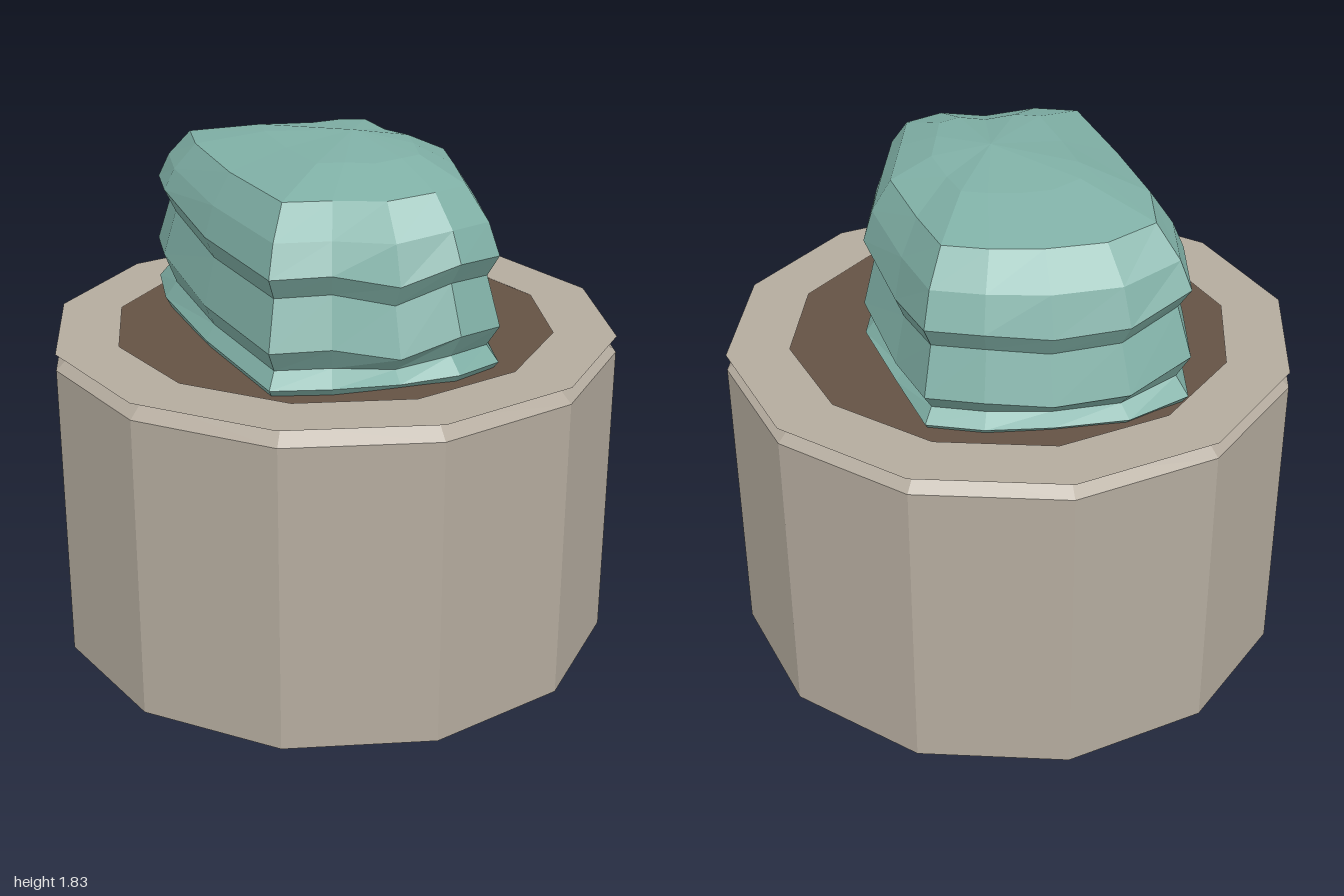
import * as THREE from 'three';

const stone = new THREE.MeshStandardMaterial({ color: 0xb4ab9e, flatShading: true, side: THREE.DoubleSide });
stone.name = 'pot stone';
const earth = new THREE.MeshStandardMaterial({ color: 0x645244, flatShading: true });
earth.name = 'soil brown';
const leaf = new THREE.MeshStandardMaterial({ color: 0x7fafa5, flatShading: true });
leaf.name = 'bush teal';

// Widest outline of the bush: x, z and how far its ridges rise or sag there
const OUTLINE = [
  [-0.02, 0.68, -0.05], [0.18, 0.70, 0.01], [0.35, 0.63, 0], [0.42, 0.35, 0.03],
  [0.51, 0.03, -0.01], [0.45, -0.30, -0.07], [0.40, -0.60, -0.03], [0.22, -0.67, -0.03],
  [0, -0.69, -0.06], [-0.25, -0.70, -0.04], [-0.47, -0.62, 0.03], [-0.52, -0.35, 0.05],
  [-0.50, 0.10, 0], [-0.44, 0.61, 0], [-0.25, 0.67, 0.01],
];

// Tiers from bottom to top: height, outline scale, share of the ridge waviness
const TIERS = [
  [1.10, 0.93, 0], [1.16, 1.00, 0.2], [1.21, 0.93, 0.5], [1.285, 1.00, 1],
  [1.45, 0.92, 1], [1.525, 0.985, 1], [1.63, 0.92, 0.5], [1.735, 0.79, 0.3], [1.80, 0.45, 0.2],
];

function bushGeometry() {
  const n = OUTLINE.length;
  const pos = [];
  const index = [];
  TIERS.forEach(([y, s, wave], i) => {
    const shift = i === TIERS.length - 1 ? 0.03 : 0;
    for (const [x, z, dy] of OUTLINE) pos.push(x * s + shift, y + dy * wave, z * s + shift);
  });
  for (let i = 0; i < TIERS.length - 1; i++) {
    for (let j = 0; j < n; j++) {
      const a = i * n + j, b = i * n + (j + 1) % n;
      index.push(a, b, b + n, a, b + n, a + n);
    }
  }
  // Fan closing the crown
  const top = (TIERS.length - 1) * n;
  pos.push(0.06, 1.83, 0.03);
  for (let j = 0; j < n; j++) index.push(top + j, top + (j + 1) % n, top + n);
  const geo = new THREE.BufferGeometry();
  geo.setAttribute('position', new THREE.Float32BufferAttribute(pos, 3));
  geo.setIndex(index);
  geo.computeVertexNormals();
  return geo;
}

export function createModel() {
  const group = new THREE.Group();
  group.name = 'pottedBush';
  const add = (name, geo, mat, y = 0) => {
    const mesh = new THREE.Mesh(geo, mat);
    mesh.name = name;
    mesh.position.y = y;
    group.add(mesh);
  };

  // Twelve-sided pot with a chamfered top edge
  const profile = [[0, 0], [1, 0], [1, 1.08], [0.94, 1.135]].map(([x, y]) => new THREE.Vector2(x, y));
  add('pot', new THREE.LatheGeometry(profile, 12), stone);

  // Thin flat rim overhanging the chamfer, and the soil inside it
  add('rim', new THREE.RingGeometry(0.78, 1, 12).rotateX(-Math.PI / 2), stone, 1.138);
  add('soil', new THREE.CircleGeometry(0.785, 12).rotateX(-Math.PI / 2), earth, 1.135);

  // Tiered clipped bush
  add('bush', bushGeometry(), leaf);
  return group;
}
